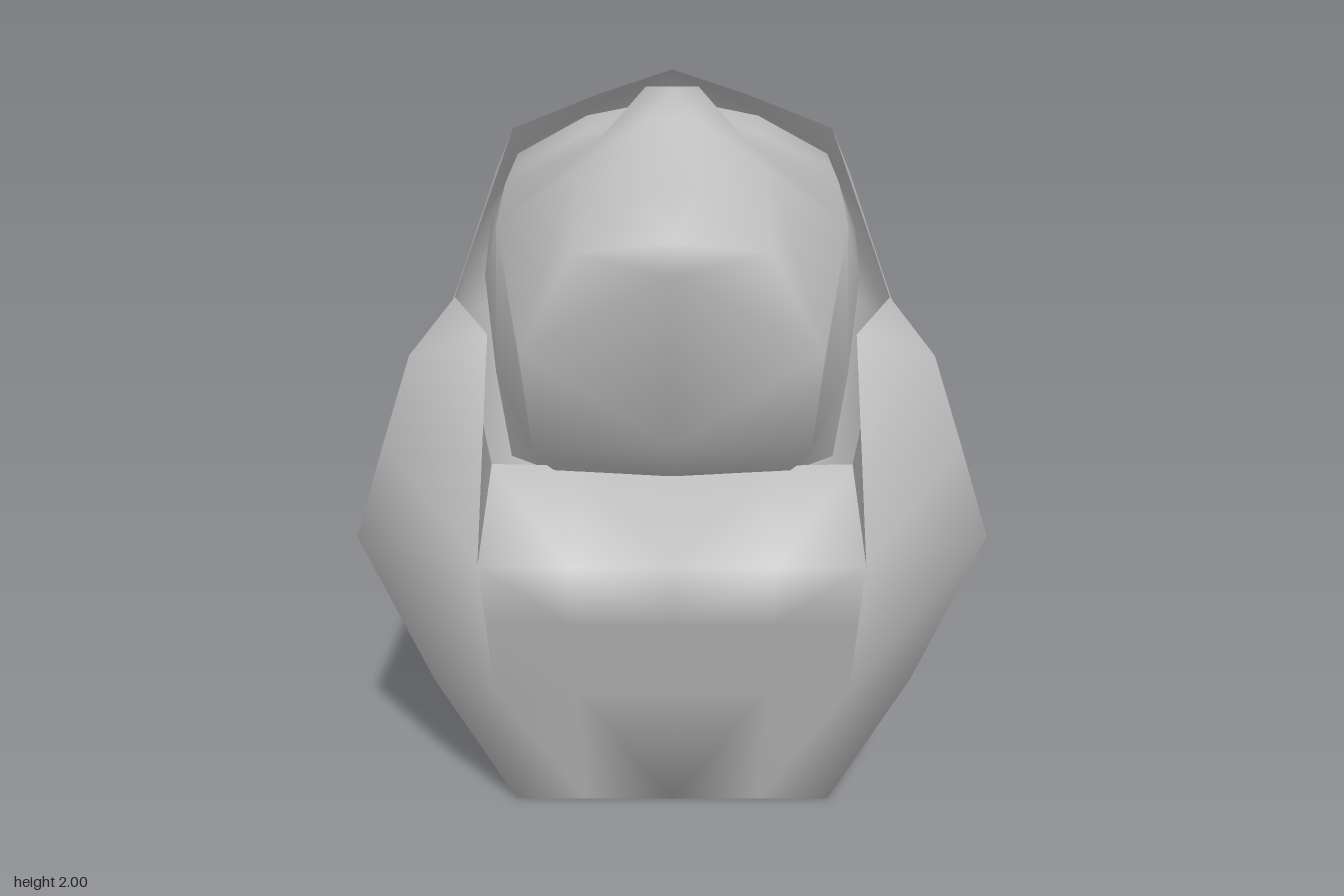
import * as THREE from 'three';
import { mergeVertices } from 'three/addons/utils/BufferGeometryUtils.js';

// Each patch is a list of columns of points. Neighbouring columns are skinned,
// mirrored across x = 0, and all patches are welded with smooth normals.
function mirroredSkin(...patches) {
  const pos = [];
  const tri = (a, b, c) => {
    pos.push(...a, ...b, ...c);
    for (const [x, y, z] of [a, c, b]) pos.push(x === 0 ? 0 : -x, y, z);
  };
  for (const columns of patches) {
    for (let i = 0; i < columns.length - 1; i++) {
      for (let j = 0; j < columns[i].length - 1; j++) {
        const a = columns[i][j], b = columns[i + 1][j];
        const c = columns[i + 1][j + 1], d = columns[i][j + 1];
        tri(a, b, c);
        tri(a, c, d);
      }
    }
  }
  const g = new THREE.BufferGeometry();
  g.setAttribute('position', new THREE.Float32BufferAttribute(pos, 3));
  const merged = mergeVertices(g, 1e-4);
  merged.computeVertexNormals();
  return merged;
}

export function createModel() {
  const model = new THREE.Group();
  model.name = 'hoodedHead';
  const grey = new THREE.MeshStandardMaterial({ color: 0xc0c0c0, side: THREE.DoubleSide });
  grey.name = 'plain grey';
  const add = (name, geometry) => {
    const mesh = new THREE.Mesh(geometry, grey);
    mesh.name = name;
    model.add(mesh);
  };

  // Low front panel, from its middle to its corner
  const frontPanel = [
    [[0, 0, .61], [0, .45, .76], [0, .7, .84], [0, .91, .91]],
    [[.25, 0, .61], [.26, .45, .76], [.26, .7, .84], [.26, .91, .91]],
    [[.45, 0, .61], [.48, .45, .76], [.487, .7, .84], [.49, .91, .91]],
  ];

  // Sides and back: columns run from the underside centreline up to the rim, front to back
  const sides = [
    [[0, 0, .61], [.45, 0, .61], [.48, .45, .76], [.49, .91, .91], [.475, 1.2, .82], [.46, 1.47, .74], [.46, 1.47, .74]],
    [[0, 0, .61], [.45, 0, .61], [.66, .43, .66], [.82, .92, .76], [.74, 1.17, .745], [.66, 1.41, .73], [.46, 1.47, .74]],
    [[0, .22, .14], [.33, .22, .14], [.58, .55, .1], [.775, .95, .1], [.71, 1.16, .1], [.67, 1.27, .1], [.63, 1.36, .09]],
    [[0, .25, -.2], [.26, .27, -.2], [.56, .58, -.2], [.755, 1, -.2], [.7, 1.2, -.2], [.65, 1.33, -.18], [.61, 1.43, -.15]],
    [[0, .29, -.44], [.25, .3, -.44], [.55, .58, -.48], [.74, 1.04, -.5], [.62, 1.43, -.44], [.55, 1.62, -.38], [.48, 1.78, -.26]],
    [[0, .39, -.66], [.33, .42, -.68], [.49, .62, -.73], [.62, 1.1, -.77], [.53, 1.5, -.74], [.44, 1.69, -.62], [.22, 1.88, -.275]],
    [[0, .47, -.82], [0, .47, -.82], [0, .7, -.89], [0, .94, -.96], [0, 1.46, -.88], [0, 1.86, -.59], [0, 1.95, -.29]],
  ];

  // Ledge running back from the front edge, under the chin
  const ledge = [
    [[0, .91, .91], [0, .965, .42]],
    [[.26, .91, .91], [.26, .978, .435]],
    [[.49, .91, .91], [.5, .99, .45]],
  ];
  add('shell', mirroredSkin(frontPanel, sides, ledge));

  // Inner walls beside the ledge, with a sharp edge against the shell
  add('innerWalls', mirroredSkin([
    [[.5, .99, .45], [.56, 1.18, .3], [.63, 1.36, .09]],
    [[.49, .91, .91], [.475, 1.2, .82], [.46, 1.47, .74]],
  ]));

  // Head: columns run from the top ridge down to the neck, front to back
  const head = [
    [[0, 1.83, .89], [0, 1.76, .93], [0, 1.69, .97], [0, 1.2, .82], [0, .95, .45]],
    [[0, 1.83, .69], [.24, 1.71, .85], [.38, 1.43, .77], [.36, 1.12, .69], [.32, .95, .42]],
    [[0, 1.93, .36], [.25, 1.82, .45], [.46, 1.67, .45], [.48, 1.25, .42], [.46, .95, .3]],
    [[0, 2, .27], [.2, 1.85, .25], [.46, 1.72, .2], [.53, 1.45, .17], [.48, .95, .1]],
    [[0, 1.84, .02], [.25, 1.82, 0], [.46, 1.72, 0], [.54, 1.5, -.05], [.48, .95, -.05]],
    [[0, 1.88, -.13], [.25, 1.84, -.15], [.46, 1.72, -.18], [.55, 1.5, -.18], [.46, .95, -.2]],
    [[0, 1.82, -.35], [.25, 1.76, -.38], [.43, 1.62, -.36], [.5, 1.4, -.32], [.4, .95, -.35]],
  ];
  // Flat strip along the ridge; columns are turned so faces point outward
  head.forEach((column, i) => {
    const [, y, z] = column[0];
    column.splice(1, 0, [i === 0 ? 0 : .07, y, z]);
    column.reverse();
  });
  add('head', mirroredSkin(head));

  return model;
}
